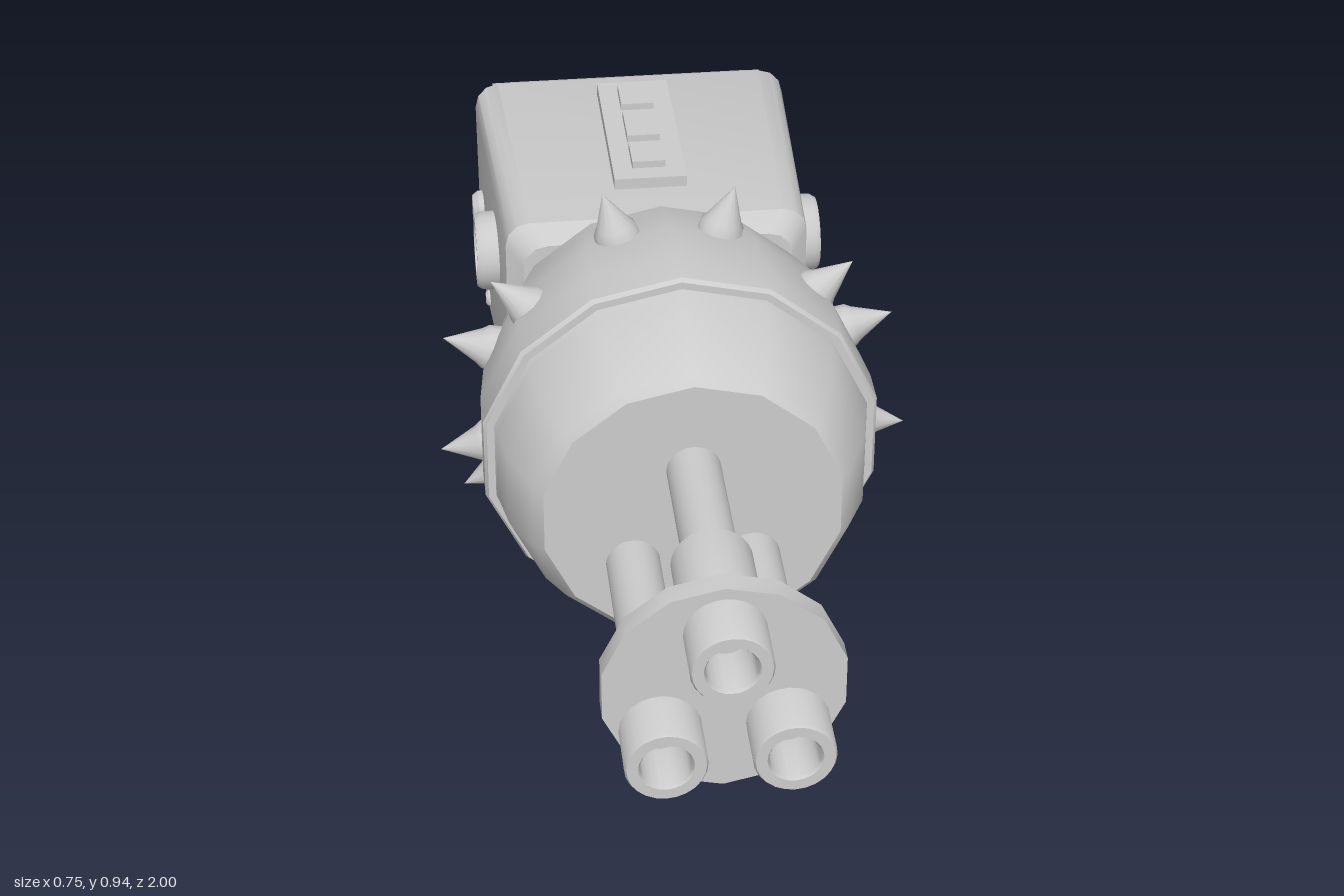
import * as THREE from 'three';
import { toCreasedNormals } from 'three/addons/utils/BufferGeometryUtils.js';

const material = new THREE.MeshStandardMaterial({ color: 0xcccccc });

function add(parent, name, geometry, crease = 0.6) {
  const mesh = new THREE.Mesh(toCreasedNormals(geometry, crease), material);
  mesh.name = name;
  parent.add(mesh);
  return mesh;
}

// Turned part from [radius, height] points, axis along y
function turned(profile, sides) {
  return new THREE.LatheGeometry(profile.map(([r, h]) => new THREE.Vector2(r, h)), sides);
}

// Outline of [z, y] points extruded across x, with an optional hole
function sideExtrude(points, halfWidth, hole) {
  const toVec = ([z, y]) => new THREE.Vector2(-z, y);
  const shape = new THREE.Shape(points.map(toVec));
  if (hole) shape.holes.push(new THREE.Path(hole.map(toVec)));
  const g = new THREE.ExtrudeGeometry(shape, { depth: halfWidth * 2, bevelEnabled: false });
  return g.rotateY(Math.PI / 2).translate(-halfWidth, 0, 0);
}

// Loft of rounded, tilted sections [topZ, topY, bottomZ, bottomY, halfWidth], front to back
function loft(sections, radius, capBulge = 0) {
  const steps = 3, n = 4 * (steps + 1), positions = [], indices = [];
  const corners = [[1, 1], [-1, 1], [-1, -1], [1, -1]];
  const centres = [];
  for (const [tz, ty, bz, by, w] of sections) {
    const height = Math.hypot(tz - bz, ty - by), r = Math.min(radius, w / 2);
    corners.forEach(([sx, sy], c) => {
      for (let k = 0; k <= steps; k++) {
        const a = (c + k / steps) * Math.PI / 2;
        const x = sx * (w - r) + r * Math.cos(a);
        const t = 0.5 + (sy * (height / 2 - r) + r * Math.sin(a)) / height;
        positions.push(x, by + (ty - by) * t, bz + (tz - bz) * t);
      }
    });
    centres.push([0, (ty + by) / 2, (tz + bz) / 2]);
  }
  const last = sections.length - 1, front = sections.length * n, back = front + 1;
  centres[last][2] -= capBulge;
  positions.push(...centres[0], ...centres[last]);
  for (let i = 0; i < n; i++) {
    const j = (i + 1) % n;
    for (let s = 0; s < last; s++) {
      const a = s * n + i, b = s * n + j;
      indices.push(a, a + n, b + n, a, b + n, b);
    }
    indices.push(front, i, j, back, last * n + j, last * n + i);
  }
  const g = new THREE.BufferGeometry();
  g.setAttribute('position', new THREE.Float32BufferAttribute(positions, 3));
  g.setIndex(indices);
  return g;
}

export function createModel() {
  const model = new THREE.Group();
  model.name = 'rotaryBlaster';

  // Drum with a stepped front rim
  const drumY = 0.579;
  add(model, 'drum', turned([
    [0, -0.02], [0.205, -0.02], [0.22, 0.02], [0.23, 0.04], [0.262, 0.05], [0.285, 0.11],
    [0.305, 0.18], [0.317, 0.28], [0.317, 0.345], [0.312, 0.352], [0.3, 0.352],
    [0.297, 0.365], [0.285, 0.43], [0.25, 0.505], [0.235, 0.52], [0, 0.52],
  ], 14).rotateX(Math.PI / 2)).position.y = drumY;

  // Spikes: [degrees from the top, z], mirrored left and right
  const spikes = new THREE.Group();
  spikes.name = 'spikes';
  spikes.position.y = drumY;
  model.add(spikes);
  const spikeShape = turned([[0.037, -0.015], [0.035, 0.012], [0.028, 0.022], [0, 0.082]], 12);
  for (const [degrees, z] of [[16, 0.165], [49, 0.22], [73, 0.165], [98, 0.24], [117, 0.175], [168, 0.155]]) {
    for (const side of [-1, 1]) {
      const a = THREE.MathUtils.degToRad(degrees) * side;
      const spike = add(spikes, 'spike', spikeShape, 0.9);
      spike.position.set(Math.sin(a) * 0.295, Math.cos(a) * 0.295, z);
      spike.rotation.z = -a;
    }
  }

  // Three hollow barrels through a muzzle plate
  const barrelShape = turned([
    [0.042, 0.5], [0.042, 0.75], [0.061, 0.75], [0.061, 0.995], [0.058, 1],
    [0.041, 1], [0.038, 0.995], [0.038, 0.9], [0, 0.9],
  ], 24).rotateX(Math.PI / 2);
  for (const [x, y] of [[0, 0.662], [-0.093, 0.492], [0.093, 0.492]]) {
    add(model, 'barrel', barrelShape).position.set(x, y, 0);
  }
  const plate = new THREE.CylinderGeometry(0.182, 0.182, 0.035, 14).rotateX(Math.PI / 2);
  add(model, 'muzzlePlate', plate).position.set(0, 0.56, 0.897);

  // Receiver box with a slanted back
  add(model, 'receiver', loft([
    [0.015, 0.755, 0.015, 0.425, 0.22],
    [-0.015, 0.782, -0.015, 0.402, 0.247],
    [-0.48, 0.778, -0.4, 0.387, 0.268],
    [-0.512, 0.762, -0.43, 0.4, 0.252],
  ], 0.04));

  // Slot frame on the back
  const frame = new THREE.Shape();
  frame.moveTo(-0.225, -0.06).lineTo(0.225, -0.06).lineTo(0.235, 0.06).lineTo(-0.235, 0.06).closePath();
  const slot = new THREE.Path();
  slot.moveTo(-0.2, -0.038).lineTo(0.2, -0.038).lineTo(0.205, 0.038).lineTo(-0.205, 0.038).closePath();
  frame.holes.push(slot);
  const slotFrame = add(model, 'rearSlotFrame',
    new THREE.ExtrudeGeometry(frame, { depth: 0.025, bevelEnabled: false }), 0.3);
  slotFrame.rotation.set(-0.23, Math.PI, 0);
  slotFrame.position.set(0, 0.698, -0.493);

  // Control panel on top
  const box = (name, w, h, d, y, z) =>
    add(model, name, new THREE.BoxGeometry(w, h, d)).position.set(0, y, z);
  box('topPanel', 0.12, 0.025, 0.32, 0.788, -0.265);
  for (const [z, d] of [[-0.17, 0.065], [-0.265, 0.085], [-0.36, 0.065]]) {
    box('topButton', 0.055, 0.02, d, 0.803, z);
  }

  // Dial, knob and studs on both sides: [name, profile, x, y, z]
  const dial = turned([
    [0.067, -0.01], [0.065, 0.025], [0.06, 0.033], [0.049, 0.033], [0.045, 0.018],
    [0.038, 0.018], [0.033, 0.028], [0, 0.031],
  ], 20);
  const button = (r, h) => turned([[r, -0.01], [r, h * 0.5], [r * 0.75, h], [0, h]], 14);
  for (const [name, shape, x, y, z] of [
    ['dial', dial, 0.256, 0.63, -0.18],
    ['knob', button(0.031, 0.02), 0.263, 0.59, -0.38],
    ['stud', button(0.014, 0.008), 0.263, 0.525, -0.375],
    ['stud', button(0.014, 0.008), 0.263, 0.475, -0.37],
    ['stud', button(0.014, 0.008), 0.261, 0.455, -0.3],
  ]) {
    for (const side of [-1, 1]) {
      const part = add(model, name, shape);
      part.position.set(side * x, y, z);
      part.rotation.z = -side * Math.PI / 2;
    }
  }

  // Trigger and its guard
  add(model, 'triggerGuard', sideExtrude(
    [[-0.21, 0.41], [-0.255, 0.278], [-0.412, 0.293], [-0.428, 0.41]], 0.03,
    [[-0.235, 0.4], [-0.27, 0.297], [-0.397, 0.31], [-0.41, 0.4]]), 0.3);
  add(model, 'trigger', sideExtrude(
    [[-0.325, 0.41], [-0.335, 0.365], [-0.315, 0.33], [-0.325, 0.325], [-0.355, 0.365], [-0.36, 0.41]], 0.014));

  // Stock flaring into the butt
  add(model, 'stock', loft([
    [-0.43, 0.555, -0.39, 0.415, 0.068],
    [-0.55, 0.52, -0.515, 0.34, 0.075],
    [-0.73, 0.445, -0.66, 0.255, 0.1],
    [-0.93, 0.375, -0.8, 0.105, 0.13],
  ], 0.018));
  add(model, 'butt', loft([
    [-0.92, 0.372, -0.81, 0.05, 0.13],
    [-0.945, 0.382, -0.828, 0.022, 0.145],
    [-0.985, 0.388, -0.86, 0.002, 0.145],
    [-1, 0.378, -0.878, 0.008, 0.137],
  ], 0.016, 0.012));

  // Raised grips that follow the taper of the stock
  for (const outline of [
    [[-0.51, 0.39], [-0.55, 0.383], [-0.665, 0.318], [-0.662, 0.245], [-0.515, 0.33]],
    [[-0.675, 0.308], [-0.7, 0.3], [-0.825, 0.22], [-0.803, 0.092], [-0.67, 0.238]],
  ]) {
    const grip = sideExtrude(outline, 1);
    const p = grip.attributes.position;
    for (let i = 0; i < p.count; i++) {
      p.setX(i, p.getX(i) * (0.087 + (-0.55 - p.getZ(i)) * 0.16));
    }
    add(model, 'stockGrip', grip, 0.3);
  }
  return model;
}
